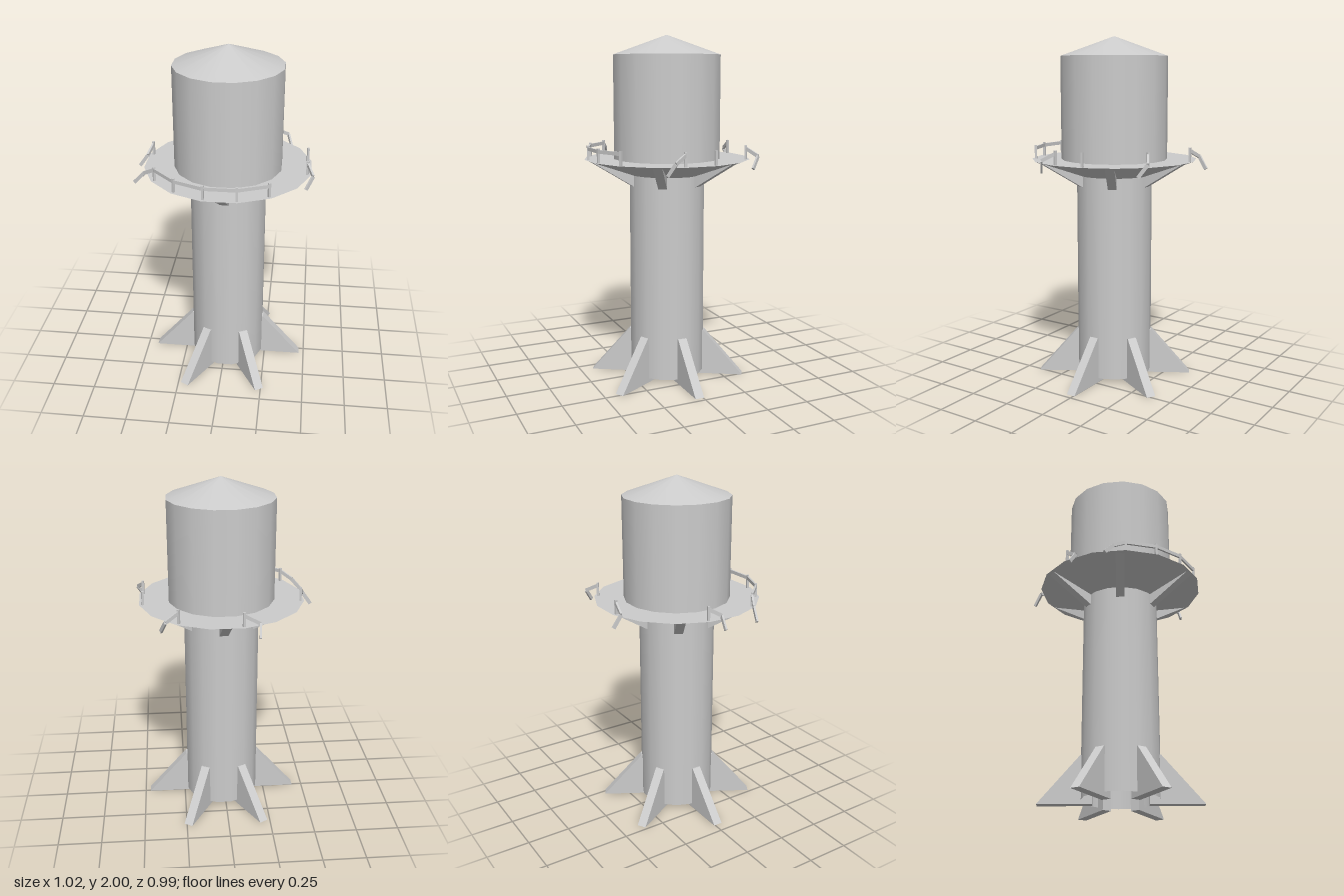
import * as THREE from 'three';

const SIDES = 16;
const STEP = (Math.PI * 2) / SIDES;

export function createModel() {
  const root = new THREE.Group();
  const tower = new THREE.Group();
  tower.name = 'waterTower';
  tower.position.set(0.015, 0, 0.02);
  root.add(tower);

  const grey = new THREE.MeshStandardMaterial({ color: 0xcccccc });
  const greyOpen = new THREE.MeshStandardMaterial({ color: 0xcccccc, side: THREE.DoubleSide });

  function add(parent, name, geometry, material = grey) {
    const mesh = new THREE.Mesh(geometry, material);
    mesh.name = name;
    parent.add(mesh);
    return mesh;
  }

  // Sixteen-sided drum with flats facing the axes
  function drum(name, rTop, rBottom, y0, y1, open = false, material = grey) {
    const g = new THREE.CylinderGeometry(rTop, rBottom, y1 - y0, SIDES, 1, open, STEP / 2);
    g.translate(0, (y0 + y1) / 2, 0);
    return add(tower, name, g, material);
  }

  drum('shaft', 0.219, 0.219, 0.025, 1.215, true, greyOpen);
  drum('platform', 0.479, 0.219, 1.212, 1.302);
  drum('tank', 0.308, 0.308, 1.3, 1.89);
  drum('roof', 0, 0.308, 1.89, 2.0, true);

  // Six radial plates cut from a side profile of [radius, height] points
  function radialPlates(name, profile, thickness, startAngle) {
    const shape = new THREE.Shape(profile.map(([r, y]) => new THREE.Vector2(r, y)));
    const g = new THREE.ExtrudeGeometry(shape, { depth: thickness, bevelEnabled: false });
    g.translate(0, 0, -thickness / 2);
    for (let i = 0; i < 6; i++) {
      add(tower, name, g).rotation.y = -(startAngle + (i * Math.PI) / 3);
    }
  }

  radialPlates('footFin', [[0.155, 0], [0.455, 0], [0.222, 0.27], [0.155, 0.27]], 0.053, 0);
  radialPlates('platformBracket', [[0.19, 1.15], [0.218, 1.15], [0.462, 1.299], [0.19, 1.299]], 0.05, Math.PI / 6);

  // Square bar running between two points
  function bar(parent, name, a, b, width, height) {
    const mesh = add(parent, name, new THREE.BoxGeometry(width, height, a.distanceTo(b)));
    mesh.position.copy(a).lerp(b, 0.5);
    mesh.lookAt(mesh.position.clone().add(b).sub(a));
    return mesh;
  }

  const railing = new THREE.Group();
  railing.name = 'brokenRailing';
  const RAIL_Y = 1.365;

  // Point on the post ring, counted in half-offset steps from +x towards +z
  function ringPoint(index, y) {
    const a = (index + 0.5) * STEP;
    return new THREE.Vector3(Math.cos(a) * 0.457, y, Math.sin(a) * 0.457);
  }

  // Surviving upright posts
  for (const i of [-1, 0, 2, 3, 4, 5, 6, 8, 11, 13]) {
    const post = add(railing, 'post', new THREE.BoxGeometry(0.013, 0.082, 0.013));
    post.position.copy(ringPoint(i, 1.341));
    post.rotation.y = -(i + 0.5) * STEP;
  }

  // Intact stretch of handrail at the front
  for (let i = 2; i < 6; i++) {
    bar(railing, 'handrail', ringPoint(i, RAIL_Y), ringPoint(i + 1, RAIL_Y), 0.011, 0.02);
  }

  // Bent rail ends: post index, then x, z of the bend and of the tip
  const bentRails = [
    [0, 0.48, 0.16, 0.444, 0.19],
    [6, -0.445, 0.215, -0.505, 0.195],
    [8, -0.47, -0.02, -0.518, -0.025],
    [11, -0.175, -0.465, -0.17, -0.51],
    [13, 0.325, -0.42, 0.35, -0.375],
  ];
  for (const [i, bx, bz, tx, tz] of bentRails) {
    const bend = new THREE.Vector3(bx, 1.325, bz);
    bar(railing, 'bentRail', ringPoint(i, RAIL_Y), bend, 0.011, 0.02);
    bar(railing, 'bentRailTip', bend, new THREE.Vector3(tx, 1.257, tz), 0.011, 0.02);
  }

  tower.add(railing);
  return root;
}
